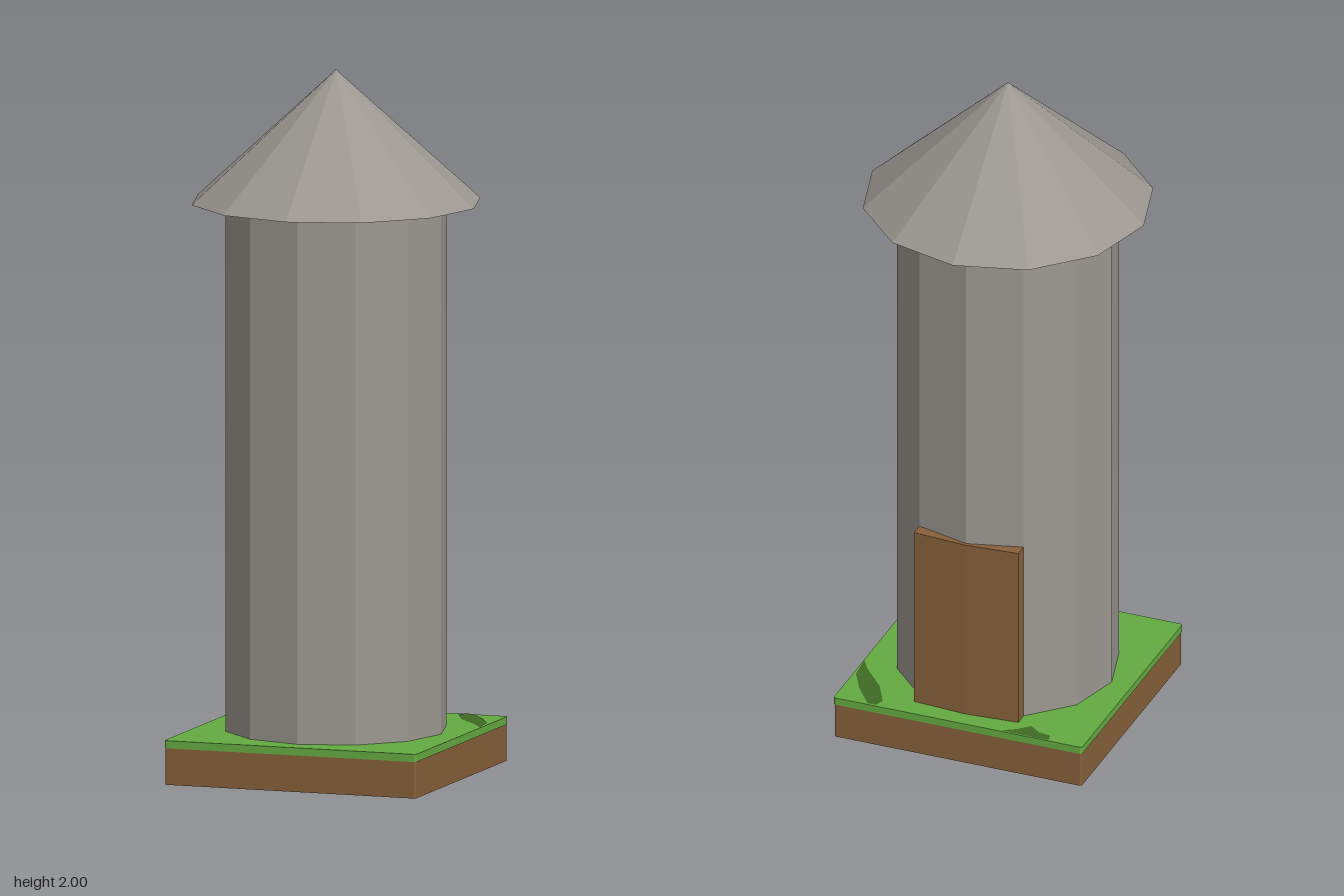
import * as THREE from 'three';

const mat = (name, color) => {
  const m = new THREE.MeshStandardMaterial({ color });
  m.name = name;
  m.flatShading = true;
  return m;
};

export function createModel() {
  const model = new THREE.Group();
  model.name = 'tower';
  const stone = mat('stone grey', 0x9c9891);
  const brown = mat('earth and wood brown', 0x87613a);
  const grass = mat('grass green', 0x65ab41);
  const darkGrass = mat('dark grass green', 0x3f6b24);

  const add = (name, geometry, material, y = 0) => {
    const mesh = new THREE.Mesh(geometry, material);
    mesh.name = name;
    mesh.position.y = y;
    model.add(mesh);
    return mesh;
  };
  // Plan outline given as x, z pairs, laid flat and raised by height
  const plan = (points) => new THREE.Shape(points.map(([x, z]) => new THREE.Vector2(x, -z)));
  const slab = (shape, depth) =>
    new THREE.ExtrudeGeometry(shape, { depth, bevelEnabled: false, curveSegments: 3 }).rotateX(-Math.PI / 2);
  const roundedSquare = (h, r) => {
    const s = new THREE.Shape();
    s.absarc(h - r, h - r, r, 0, Math.PI / 2);
    s.absarc(r - h, h - r, r, Math.PI / 2, Math.PI);
    s.absarc(r - h, r - h, r, Math.PI, Math.PI * 1.5);
    s.absarc(h - r, r - h, r, Math.PI * 1.5, Math.PI * 2);
    s.closePath();
    return s;
  };

  // Ground block with a grass layer
  add('earthBlock', slab(roundedSquare(0.375, 0.006), 0.104), brown);
  add('grassLayer', slab(roundedSquare(0.377, 0.008), 0.022), grass, 0.104);

  // Darker grass patches at the back corners
  const patches = [
    [[-0.275, -0.375], [-0.27, -0.35], [-0.235, -0.345], [-0.2, -0.32], [-0.17, -0.35], [-0.13, -0.375]],
    [[0.24, -0.345], [0.25, -0.373], [0.275, -0.373], [0.33, -0.3], [0.368, -0.23], [0.375, -0.15],
      [0.35, -0.19], [0.28, -0.27]],
  ];
  patches.forEach((p) =>
    add('darkGrassPatch', new THREE.ShapeGeometry(plan(p)).rotateX(-Math.PI / 2), darkGrass, 0.1275));

  // Twelve-sided shaft and pointed roof
  add('towerShaft', new THREE.CylinderGeometry(0.315, 0.315, 1.5, 12), stone, 0.875);
  add('roof', new THREE.ConeGeometry(0.412, 0.375, 12), stone, 1.8125);

  // Door slab at the back, with a shallow centre ridge
  const door = plan([[-0.158, -0.27], [-0.158, -0.312], [0, -0.324], [0.158, -0.312], [0.158, -0.27]]);
  add('door', slab(door, 0.547), brown, 0.126);

  return model;
}
